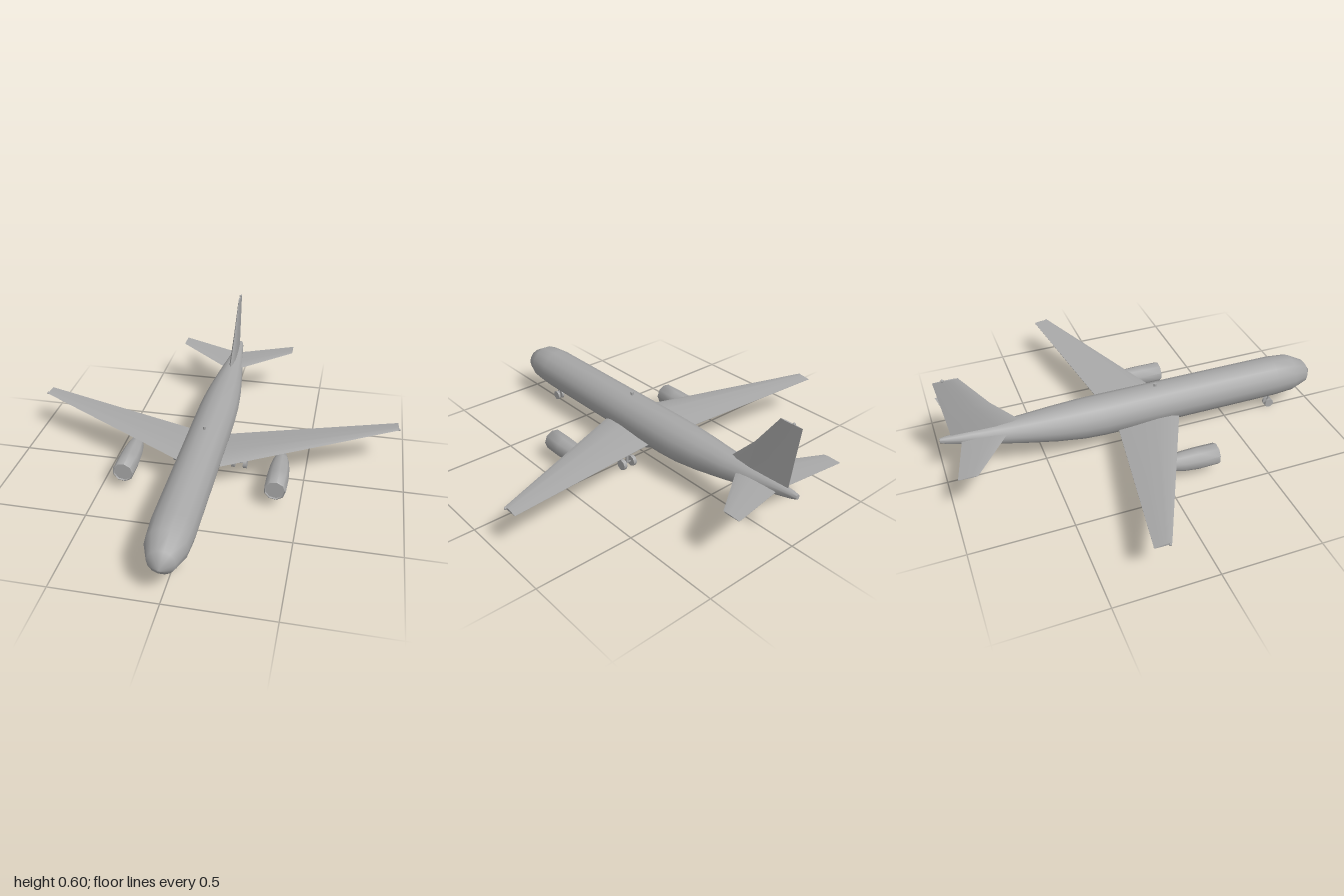
import * as THREE from 'three';
import { toCreasedNormals } from 'three/addons/utils/BufferGeometryUtils.js';

const grey = new THREE.MeshStandardMaterial({ color: 0xa8a8a8 });
grey.name = 'plain grey';

// Skin a list of equal-length closed rings of [x, y, z] points and cap both ends
function loft(rings, crease = 0.9) {
  const n = rings[0].length, last = (rings.length - 1) * n;
  const pts = rings.flat(), index = [];
  for (let i = 0; i < rings.length - 1; i++) {
    for (let j = 0; j < n; j++) {
      const a = i * n + j, b = i * n + (j + 1) % n;
      index.push(a, a + n, b, b, a + n, b + n);
    }
  }
  for (let j = 1; j < n - 1; j++) {
    index.push(0, j, j + 1, last, last + j + 1, last + j);
  }
  // Turn every face outward whichever way the rings run
  let volume = 0;
  const [a, b, c] = [0, 1, 2].map(() => new THREE.Vector3());
  for (let i = 0; i < index.length; i += 3) {
    a.fromArray(pts[index[i]]);
    b.fromArray(pts[index[i + 1]]);
    c.fromArray(pts[index[i + 2]]);
    volume += a.dot(b.cross(c));
  }
  if (volume < 0) index.reverse();
  const geo = new THREE.BufferGeometry();
  geo.setAttribute('position', new THREE.Float32BufferAttribute(pts.flat(), 3));
  geo.setIndex(index);
  return toCreasedNormals(geo, crease);
}

// Elliptical ring facing along z
function ring(x, y, z, rx, ry, sides) {
  return Array.from({ length: sides }, (_, j) => {
    const t = j / sides * Math.PI * 2;
    return [x + rx * Math.cos(t), y + ry * Math.sin(t), z];
  });
}

// Aerofoil outline as [chord fraction, thickness fraction]
const FOIL = [[0, 0], [0.1, 0.35], [0.35, 0.5], [0.7, 0.3], [1, 0.04],
  [1, -0.04], [0.7, -0.3], [0.35, -0.5], [0.1, -0.35]];

const foil = (front, back, thick, place) =>
  FOIL.map(([c, t]) => place(front + (back - front) * c, t * thick, c));

export function createModel() {
  const model = new THREE.Group();
  model.name = 'airliner';
  const add = (name, geo, x = 0, y = 0, z = 0, parent = model) => {
    const mesh = new THREE.Mesh(geo, grey);
    mesh.name = name;
    mesh.position.set(x, y, z);
    parent.add(mesh);
    return mesh;
  };

  // Fuselage stations: z, bottom, top, half width
  const stations = [
    [1, 0.179, 0.183, 0.002], [0.955, 0.125, 0.25, 0.064], [0.87, 0.101, 0.295, 0.097],
    [0.76, 0.095, 0.305, 0.105], [-0.2, 0.095, 0.305, 0.105], [-0.31, 0.101, 0.304, 0.102],
    [-0.45, 0.122, 0.299, 0.091], [-0.62, 0.156, 0.291, 0.07], [-0.75, 0.186, 0.286, 0.051],
    [-0.85, 0.21, 0.283, 0.035], [-0.97, 0.24, 0.279, 0.018], [-1, 0.25, 0.275, 0.01],
  ];
  add('fuselage', loft(stations.map(([z, lo, hi, w]) =>
    ring(0, (lo + hi) / 2, z, w, (hi - lo) / 2, 14))));

  // Bulge under the wing roots
  const fairing = [[0.2, 0.02, 0.01], [0.14, 0.075, 0.032], [0.03, 0.092, 0.042],
    [-0.1, 0.085, 0.038], [-0.19, 0.02, 0.01]];
  add('bellyFairing', loft(fairing.map(([z, w, h]) => ring(0, 0.125, z, w, h, 10))));

  // Fin sections: y, leading z, trailing z, thickness
  const fin = [[0.255, -0.59, -0.943, 0.03], [0.29, -0.62, -0.947, 0.028],
    [0.42, -0.745, -0.963, 0.018], [0.59, -0.87, -0.985, 0.008]];
  add('tailFin', loft(fin.map(([y, f, b, t]) => foil(f, b, t, (z, d) => [d, y, z])), 0.6));

  // Small lights and beacon
  const bulb = new THREE.SphereGeometry(0.007, 8, 6);
  add('finLight', bulb, 0, 0.592, -0.94);
  add('roofBeacon', new THREE.CylinderGeometry(0.008, 0.008, 0.018, 8), 0, 0.308, 0.09);

  // Wheel pair on a strut
  const gear = (name, x, z, radius, width, spread, top, strut) => {
    const g = new THREE.Group();
    g.name = name;
    g.position.set(x, radius, z);
    model.add(g);
    add('strut', new THREE.CylinderGeometry(strut, strut, top - radius, 8),
      0, (top - radius) / 2, 0, g);
    add('axle', new THREE.CylinderGeometry(0.004, 0.004, spread * 2, 6),
      0, 0, 0, g).rotation.z = Math.PI / 2;
    const wheel = toCreasedNormals(
      new THREE.CylinderGeometry(radius, radius, width, 8).rotateZ(Math.PI / 2), 0.9);
    for (const s of [-1, 1]) add('wheel', wheel, s * spread, 0, 0, g);
  };
  gear('noseGear', 0, 0.765, 0.025, 0.012, 0.013, 0.12, 0.006);

  for (const s of [1, -1]) {
    const side = s > 0 ? 'left' : 'right';

    // Wing sections: x, y, leading z, trailing z, thickness
    const wing = [[0, 0.142, 0.232, -0.122, 0.04], [0.1, 0.15, 0.185, -0.14, 0.035],
      [0.95, 0.225, -0.215, -0.295, 0.01]];
    add(side + 'Wing', loft(wing.map(([x, y, f, b, t]) =>
      foil(f, b, t, (z, d, c) => [s * x, y + d + (0.5 - c) * t * 0.3, z])), 0.6));
    add(side + 'WingLight', bulb, s * 0.953, 0.225, -0.225);

    // Tailplane
    const plane = [[0, 0.246, -0.655, -0.897, 0.018], [0.05, 0.25, -0.69, -0.908, 0.016],
      [0.325, 0.28, -0.88, -0.97, 0.006]];
    add(side + 'Tailplane', loft(plane.map(([x, y, f, b, t]) =>
      foil(f, b, t, (z, d) => [s * x, y + d, z])), 0.6));

    // Engine pod with a shallow recessed intake: z, centre y, radius
    const pod = [[0.256, 0.106, 0.048], [0.265, 0.106, 0.05], [0.262, 0.106, 0.054],
      [0.16, 0.106, 0.055], [0.08, 0.11, 0.05], [0.02, 0.116, 0.04],
      [-0.015, 0.122, 0.028], [-0.025, 0.124, 0.015]];
    add(side + 'Engine', loft(pod.map(([z, y, r]) => ring(s * 0.38, y, z, r, r, 9))));

    gear(side + 'MainGear', s * 0.156, -0.055, 0.029, 0.019, 0.031, 0.15, 0.008);
  }
  return model;
}
